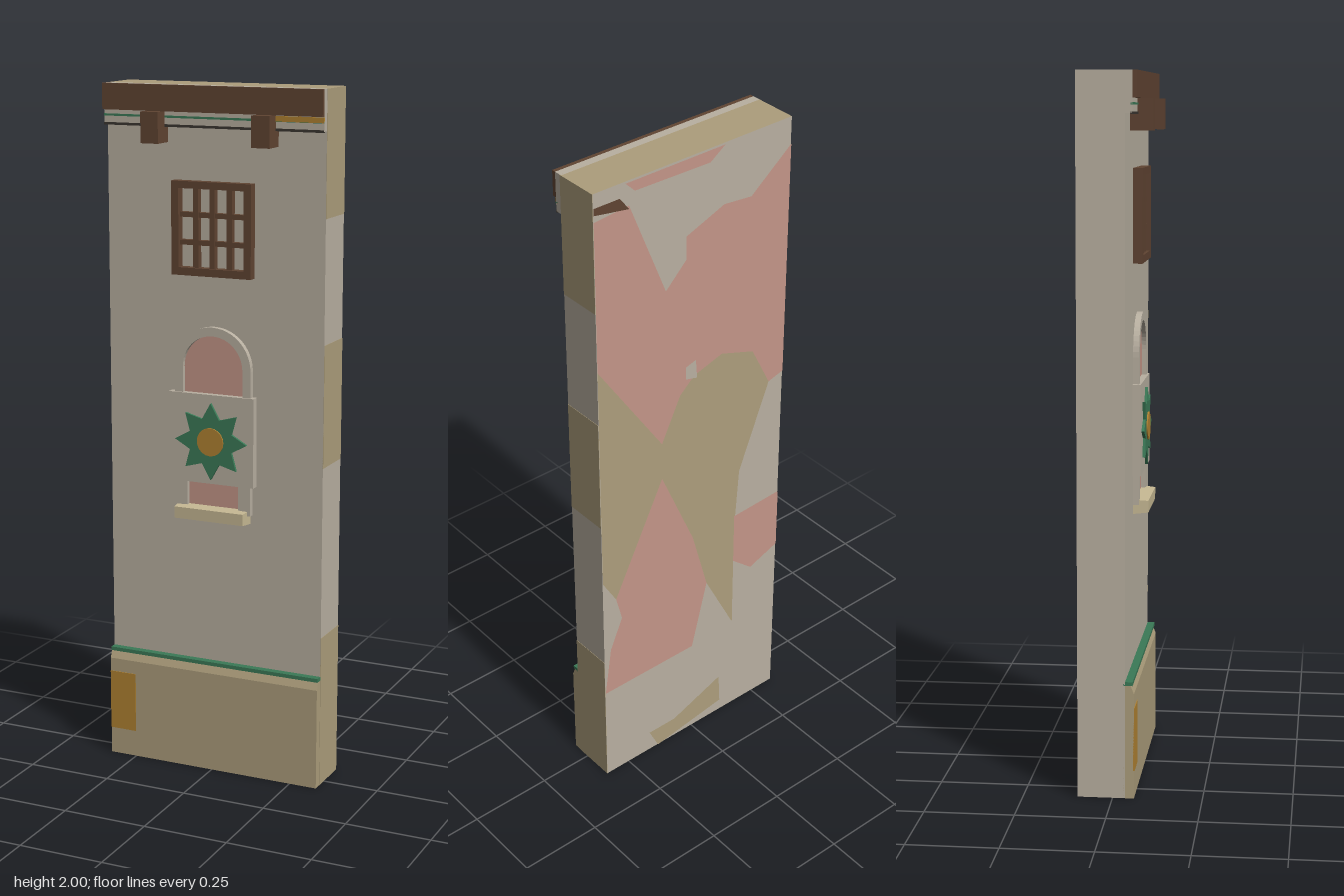
import * as THREE from 'three';

const mat = (name, color, side = THREE.FrontSide) => {
  const m = new THREE.MeshStandardMaterial({ color, side });
  m.name = name;
  return m;
};

export function createModel() {
  const plaster = mat('plaster', 0xb9b0a1);
  const tan = mat('tan stone', 0xad9e7c);
  const pink = mat('pink plaster', 0xc49688);
  const wood = mat('dark wood', 0x604432);
  const green = mat('green glaze', 0x3b7a57);
  const ochre = mat('ochre', 0xb08232);
  const cream = mat('cream stone', 0xc6b893);
  const shadowLine = mat('dark joint', 0x3a3530);

  const root = new THREE.Group();
  const add = (name, geo, material, parent = root) => {
    const mesh = new THREE.Mesh(geo, material);
    mesh.name = name;
    parent.add(mesh);
    return mesh;
  };
  // Box given by its minimum and maximum on each axis
  const box = (name, x0, x1, y0, y1, z0, z1, material, parent) => {
    const g = new THREE.BoxGeometry(x1 - x0, y1 - y0, z1 - z0);
    g.translate((x0 + x1) / 2, (y0 + y1) / 2, (z0 + z1) / 2);
    return add(name, g, material, parent);
  };
  const extrude = (name, shape, z0, z1, material, parent) => {
    const g = new THREE.ExtrudeGeometry(shape, { depth: z1 - z0, bevelEnabled: false, curveSegments: 12 });
    g.translate(0, 0, z0);
    return add(name, g, material, parent);
  };
  const polygon = pts => new THREE.Shape(pts.map(p => new THREE.Vector2(p[0], p[1])));
  // Round-topped outline
  const arch = (w, y0, yc, r) => {
    const s = new THREE.Shape();
    s.moveTo(-w, y0);
    s.lineTo(w, y0);
    s.lineTo(w, yc);
    s.absarc(0, yc, r, 0, Math.PI, false);
    s.closePath();
    return s;
  };
  const W = 0.333;

  // Wall slab, tan on its top
  box('wall', -W, W, 0, 2, -0.098, 0.035, [plaster, plaster, tan, tan, plaster, plaster]);
  [[0, 0.45], [0.95, 1.3], [1.65, 2]].forEach(([y0, y1]) =>
    box('sidePatch', W - 0.001, W + 0.001, y0, y1, -0.098, 0.035, tan));

  // Base with a sloped upper edge
  const baseProfile = polygon([[-0.03, 0], [-0.06, 0], [-0.06, 0.3], [-0.05, 0.325], [-0.03, 0.325]]);
  const baseGeo = new THREE.ExtrudeGeometry(baseProfile, { depth: 2 * W, bevelEnabled: false });
  baseGeo.rotateY(Math.PI / 2);
  baseGeo.translate(-W, 0, 0);
  add('base', baseGeo, tan);
  box('baseTrim', -W, W, 0.323, 0.334, 0.03, 0.056, green);
  box('basePatch', -W, -0.25, 0.08, 0.26, 0.058, 0.062, ochre);

  // Cornice, beam and brackets
  box('cornice', -W, W, 1.887, 2, 0.03, 0.055, [plaster, plaster, plaster, plaster, plaster, plaster]);
  box('beam', -W, W, 1.927, 2, 0.055, 0.067, wood);
  box('corniceJoint', -W, W, 1.884, 1.891, 0.05, 0.057, shadowLine);
  box('corniceStripe', -W, W, 1.909, 1.915, 0.05, 0.057, green);
  box('corniceOchre', 0.19, W, 1.91, 1.925, 0.05, 0.058, ochre);
  [-0.171, 0.165].forEach(x => {
    const b = new THREE.Group();
    b.name = 'bracket';
    box('bracketBlock', x - 0.027, x + 0.027, 1.84, 1.927, 0.03, 0.098, wood, b);
    root.add(b);
  });

  // Window grille
  const grille = new THREE.Group();
  grille.name = 'windowGrille';
  root.add(grille);
  const frame = polygon([[-0.122, 1.473], [0.122, 1.473], [0.122, 1.737], [-0.122, 1.737]]);
  frame.holes.push(polygon([[-0.1, 1.495], [-0.1, 1.717], [0.1, 1.717], [0.1, 1.495]]));
  extrude('windowFrame', frame, 0.03, 0.062, wood, grille);
  [-0.05, 0, 0.053].forEach(x =>
    box('uprightBar', x - 0.008, x + 0.008, 1.49, 1.72, 0.035, 0.054, wood, grille));
  [1.565, 1.643].forEach(y =>
    box('crossBar', -0.105, 0.105, y - 0.007, y + 0.007, 0.035, 0.052, wood, grille));

  // Arched niche with panel, sill and star
  const niche = new THREE.Group();
  niche.name = 'niche';
  root.add(niche);
  const surround = arch(0.118, 0.79, 1.21, 0.118);
  surround.holes.push(arch(0.093, 0.8, 1.21, 0.093));
  extrude('archSurround', surround, 0.03, 0.052, plaster, niche);
  extrude('nichePink', arch(0.095, 0.79, 1.21, 0.095), 0.03, 0.039, pink, niche);
  box('nichePanel', -0.135, 0.13, 0.875, 1.135, 0.03, 0.058, plaster, niche);
  [-0.098, 0.098].forEach(x =>
    box('nicheFoot', x - 0.018, x + 0.018, 0.795, 0.88, 0.03, 0.05, plaster, niche));
  const sill = extrude('sill', polygon([[-0.115, 0.763], [0.112, 0.763], [0.112, 0.805], [-0.115, 0.805]]),
    0.03, 0.078, cream, niche);
  // Taper the sill toward its outer face
  const sp = sill.geometry.attributes.position;
  for (let i = 0; i < sp.count; i++)
    if (sp.getZ(i) > 0.07) sp.setXY(i, sp.getX(i) * 0.95, 0.784 + (sp.getY(i) - 0.784) * 0.8);
  sill.geometry.computeVertexNormals();

  const star = [];
  for (let i = 0; i < 16; i++) {
    const a = Math.PI * i / 8, r = i % 2 ? 0.07 : 0.112;
    star.push([r * Math.cos(a), 1 + r * Math.sin(a)]);
  }
  extrude('star', polygon(star), 0.05, 0.066, green, niche);
  const disc = new THREE.CylinderGeometry(0.041, 0.041, 0.014, 20);
  disc.rotateX(Math.PI / 2);
  disc.translate(0, 1, 0.063);
  add('starCentre', disc, ochre, niche);

  // Worn colour patches on the back
  const backPatch = (name, pts, material, z = -0.1) => {
    const g = new THREE.ShapeGeometry(polygon(pts.map(([x, y]) => [-x, y])));
    g.rotateY(Math.PI);
    g.translate(0, 0, z);
    add(name, g, material);
  };
  backPatch('backUpperPink', [[W, 1.92], [0.22, 1.93], [0.1, 1.63], [0.03, 1.7], [0.03, 1.77], [-0.1, 1.82],
    [-0.195, 1.81], [-W, 1.92], [-W, 1.195], [-0.28, 1.18], [-0.215, 1.31], [-0.1, 1.35], [0, 1.32],
    [0.05, 1.275], [0.115, 1.14], [W, 1.47]], pink);
  backPatch('backTan', [[W, 1.47], [0.115, 1.14], [0.05, 1.275], [0, 1.32], [-0.1, 1.35], [-0.215, 1.31],
    [-0.28, 1.18], [-0.175, 0.91], [-0.16, 0.7], [-0.16, 0.34], [-0.055, 0.55], [0, 0.75], [0.115, 1.02],
    [0.287, 0.67], [W, 0.75]], tan);
  backPatch('backLowerPink', [[0.115, 1.02], [0, 0.75], [-0.055, 0.55], [0, 0.33], [W, 0.33], [0.31, 0.49],
    [0.267, 0.59], [0.287, 0.67]], pink);
  backPatch('backSidePink', [[-0.16, 0.75], [-W, 0.76], [-W, 0.56], [-0.23, 0.52], [-0.16, 0.58]], pink);
  backPatch('backBaseTan', [[0.168, 0.07], [0.07, 0.07], [-0.11, 0.14], [-0.115, 0.04], [0.135, 0]], tan);
  backPatch('backTopPink', [[0.23, 1.995], [-0.1, 1.995], [-0.05, 1.96], [0.2, 1.965]], pink);
  backPatch('backWoodStain', [[W, 1.96], [0.25, 1.96], [0.22, 1.92], [W, 1.94]], wood, -0.101);
  backPatch('backPlasterChip', [[0.03, 1.36], [-0.005, 1.37], [-0.01, 1.31], [0.03, 1.32]], plaster, -0.101);

  return root;
}
